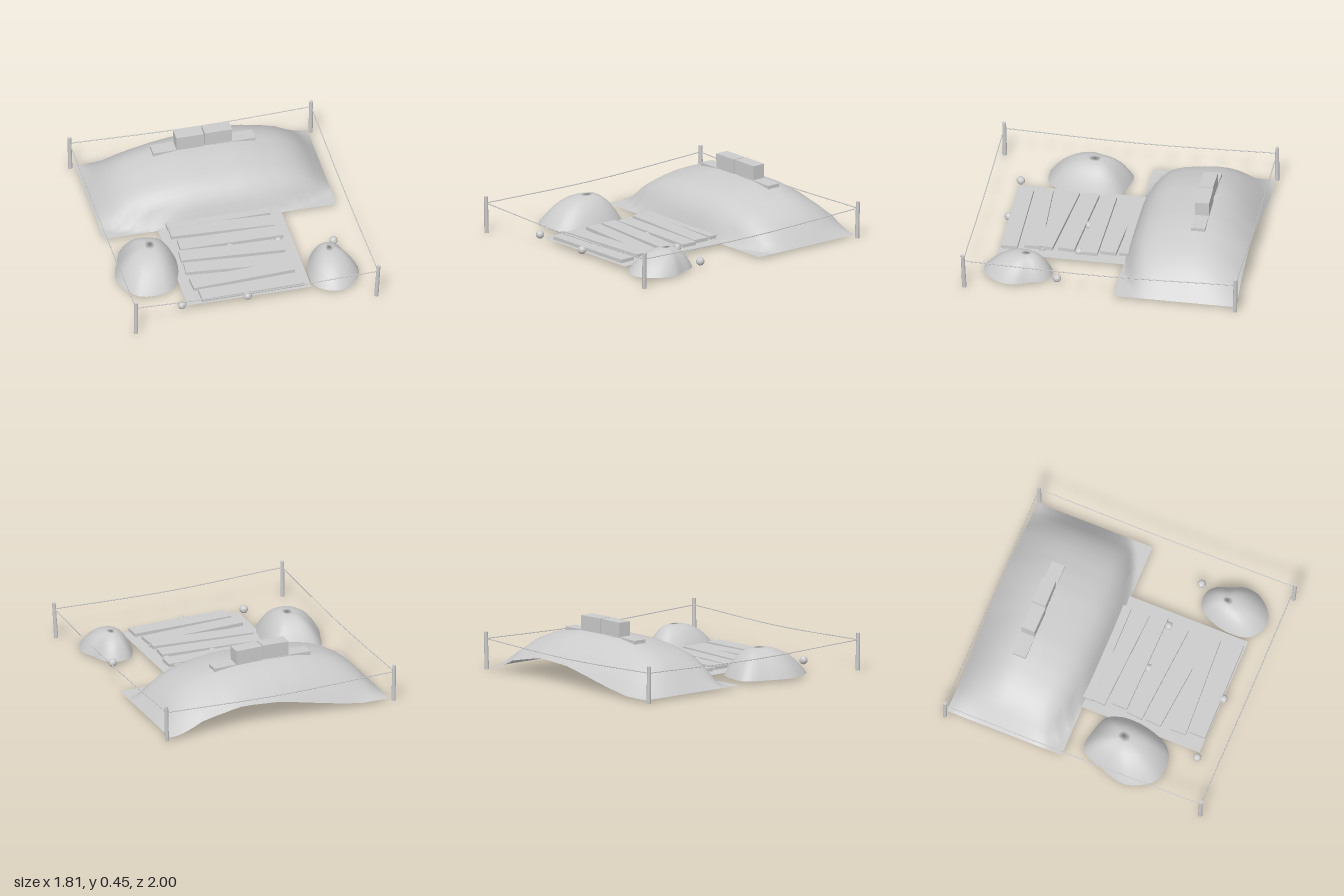
import * as THREE from 'three';

const clay = new THREE.MeshStandardMaterial({ color: 0xcccccc });
clay.name = 'pale grey';
const thinClay = new THREE.MeshStandardMaterial({ color: 0xcccccc, side: THREE.DoubleSide });
thinClay.name = 'pale grey sheet';
const facetClay = new THREE.MeshStandardMaterial({ color: 0xcccccc, flatShading: true });
facetClay.name = 'pale grey faceted';

function add(parent, name, geometry, material, x = 0, y = 0, z = 0) {
  const mesh = new THREE.Mesh(geometry, material);
  mesh.name = name;
  mesh.position.set(x, y, z);
  parent.add(mesh);
  return mesh;
}

// Linear interpolation through [position, value] pairs
function sample(points, t) {
  for (let i = 1; i < points.length; i++) {
    const [a, va] = points[i - 1], [b, vb] = points[i];
    if (t <= b) return va + (vb - va) * Math.max(0, (t - a) / (b - a));
  }
  return points[points.length - 1][1];
}

// Earth bank: a draped sheet, steep in front with rounded corners, its rear edge partly raised
function moundGeometry() {
  const across = [[0, 1], [0.2, 0.99], [0.35, 0.93], [0.5, 0.82], [0.6, 0.7], [0.7, 0.5], [0.8, 0.17], [0.85, 0]];
  const front = [[0, 0], [0.03, 0.32], [0.07, 0.52], [0.12, 0.7], [0.2, 0.83], [0.3, 0.91], [0.4, 0.97], [0.52, 1]];
  const rear = [[-0.65, 0], [-0.3, 0.2], [0, 0.38], [0.3, 0.45], [0.6, 0.35], [0.85, 0]];
  const geo = new THREE.PlaneGeometry(1.7, 0.88, 34, 24);
  geo.rotateX(-Math.PI / 2).translate(0, 0, -0.54);
  const p = geo.attributes.position;
  for (let i = 0; i < p.count; i++) {
    const x = p.getX(i), z = p.getZ(i);
    const inset = 0.16 * (Math.abs(x) / 0.85) ** 3;
    let along = sample(front, 0.52 * (-0.1 - z - inset) / (0.52 - inset));
    if (z < -0.62) along = 1 - (1 - sample(rear, x)) * ((-0.62 - z) / 0.36) ** 2;
    p.setY(i, 0.02 + 0.33 * sample(across, Math.abs(x)) * along);
  }
  geo.computeVertexNormals();
  return geo;
}

// Open heap: a closed ground outline of [x, z] points shrinking in rings up to a peak
function heapGeometry(outline, peakX, peakZ, height) {
  const curve = new THREE.CatmullRomCurve3(outline.map(([x, z]) => new THREE.Vector3(x, 0, z)), true);
  const around = 36, rings = 10;
  const positions = [], index = [];
  for (let j = 0; j <= rings; j++) {
    const r = Math.sin((j / rings) * Math.PI / 2);
    for (let i = 0; i < around; i++) {
      const q = curve.getPoint(i / around);
      positions.push(peakX + (q.x - peakX) * r, 0.018 + height * (1 - r ** 2.5), peakZ + (q.z - peakZ) * r);
      if (j === rings) continue;
      const a = j * around + i, b = j * around + (i + 1) % around;
      if (j > 0) index.push(a, b, a + around);
      index.push(b, b + around, a + around);
    }
  }
  const geo = new THREE.BufferGeometry();
  geo.setAttribute('position', new THREE.Float32BufferAttribute(positions, 3));
  geo.setIndex(index);
  geo.computeVertexNormals();
  // All points of the peak share one upright normal
  for (let i = 0; i < around; i++) geo.attributes.normal.setXYZ(i, 0, 1, 0);
  return geo;
}

export function createModel() {
  const model = new THREE.Group();
  model.name = 'fortifiedYard';

  add(model, 'mound', moundGeometry(), thinClay);

  // Blocks stacked as a pyramid, mostly buried in the mound
  const wall = new THREE.Group();
  wall.name = 'blockWall';
  model.add(wall);
  [[6, 0.19, 0.185], [4, 0.188, 0.182], [2, 0.208, 0.2]].forEach(([count, step, width], row) => {
    for (let i = 0; i < count; i++) {
      const odd = i % 2 ? 1 : -1;
      const block = add(wall, 'block', new THREE.BoxGeometry(width, 0.11, 0.1), clay,
        (i - (count - 1) / 2) * step - 0.002, 0.185 + row * 0.106, -0.623 - odd * 0.003);
      block.rotation.set(0, odd * 0.015, -odd * 0.012);
    }
  });

  // Ground sheet running under the front of the mound
  const sheet = new THREE.PlaneGeometry(0.905, 1.05).rotateX(-Math.PI / 2);
  add(model, 'groundSheet', sheet, thinClay, -0.008, 0.03, 0.275);

  // Loose planks: centre x, centre z, drift in z along the length
  const planks = [
    [-0.022, -0.113, -0.005], [-0.018, 0.005, 0.04], [0.01, 0.149, 0.012], [-0.015, 0.297, 0.055],
    [-0.015, 0.447, 0.07], [-0.01, 0.583, -0.04], [0.02, 0.735, -0.01],
  ];
  planks.forEach(([x, z, drift], i) => {
    const plank = add(model, 'plank', new THREE.BoxGeometry(0.75, 0.025, 0.118), clay,
      x, i === 0 ? 0.054 : 0.053, z);
    plank.rotation.y = -Math.atan(drift / 0.75);
  });

  // Two heaps beside the planks
  add(model, 'rightHeap', heapGeometry([
    [-0.72, 0.02], [-0.78, 0.06], [-0.83, 0.19], [-0.87, 0.3], [-0.88, 0.41], [-0.83, 0.53], [-0.75, 0.61],
    [-0.57, 0.61], [-0.49, 0.55], [-0.44, 0.45], [-0.412, 0.3], [-0.42, 0.18], [-0.47, 0.08], [-0.6, 0.035],
  ], -0.61, 0.28, 0.2), thinClay);
  add(model, 'leftHeap', heapGeometry([
    [0.63, 0.375], [0.55, 0.4], [0.5, 0.48], [0.47, 0.56], [0.457, 0.66], [0.47, 0.77], [0.53, 0.84],
    [0.62, 0.873], [0.7, 0.85], [0.76, 0.8], [0.81, 0.72], [0.82, 0.62], [0.78, 0.53], [0.75, 0.44], [0.7, 0.39],
  ], 0.63, 0.56, 0.157), thinClay);

  // Pebbles: x, y, z
  const pebbles = [
    [-0.505, 0.043, 0.8], [-0.025, 0.043, 0.805], [0.34, 0.036, 0.235],
    [-0.01, 0.036, 0.225], [0.72, 0.043, 0.33], [0.335, 0.036, 0.5],
  ];
  pebbles.forEach(([x, y, z], i) => {
    const pebble = add(model, 'pebble', new THREE.IcosahedronGeometry(0.031, 1), facetClay, x, y, z);
    pebble.rotation.set(i, i * 0.7, 0);
  });

  // Corner posts, slightly leaning: x, z, lean in x, lean in z
  const posts = [
    [-0.882, -0.982, -0.006, 0], [0.875, -0.98, 0.006, -0.004],
    [0.876, 0.97, 0.014, 0.01], [-0.885, 0.98, 0, 0.005],
  ];
  const knots = posts.map(([x, z, leanX, leanZ]) => {
    const post = add(model, 'post', new THREE.CylinderGeometry(0.014, 0.016, 0.27, 8), clay,
      x + leanX / 2, 0.136, z + leanZ / 2);
    post.rotation.set(leanZ / 0.27, 0, -leanX / 0.27);
    return new THREE.Vector3(x + leanX * 0.8, 0.223, z + leanZ * 0.8);
  });

  // Thin rope sagging between neighbouring posts
  knots.forEach((a, i) => {
    const b = knots[(i + 1) % 4];
    const middle = a.clone().lerp(b, 0.5).setY(0.2);
    const path = new THREE.CatmullRomCurve3([a, middle, b]);
    add(model, 'rope', new THREE.TubeGeometry(path, 10, 0.0035, 6), clay);
  });

  return model;
}
